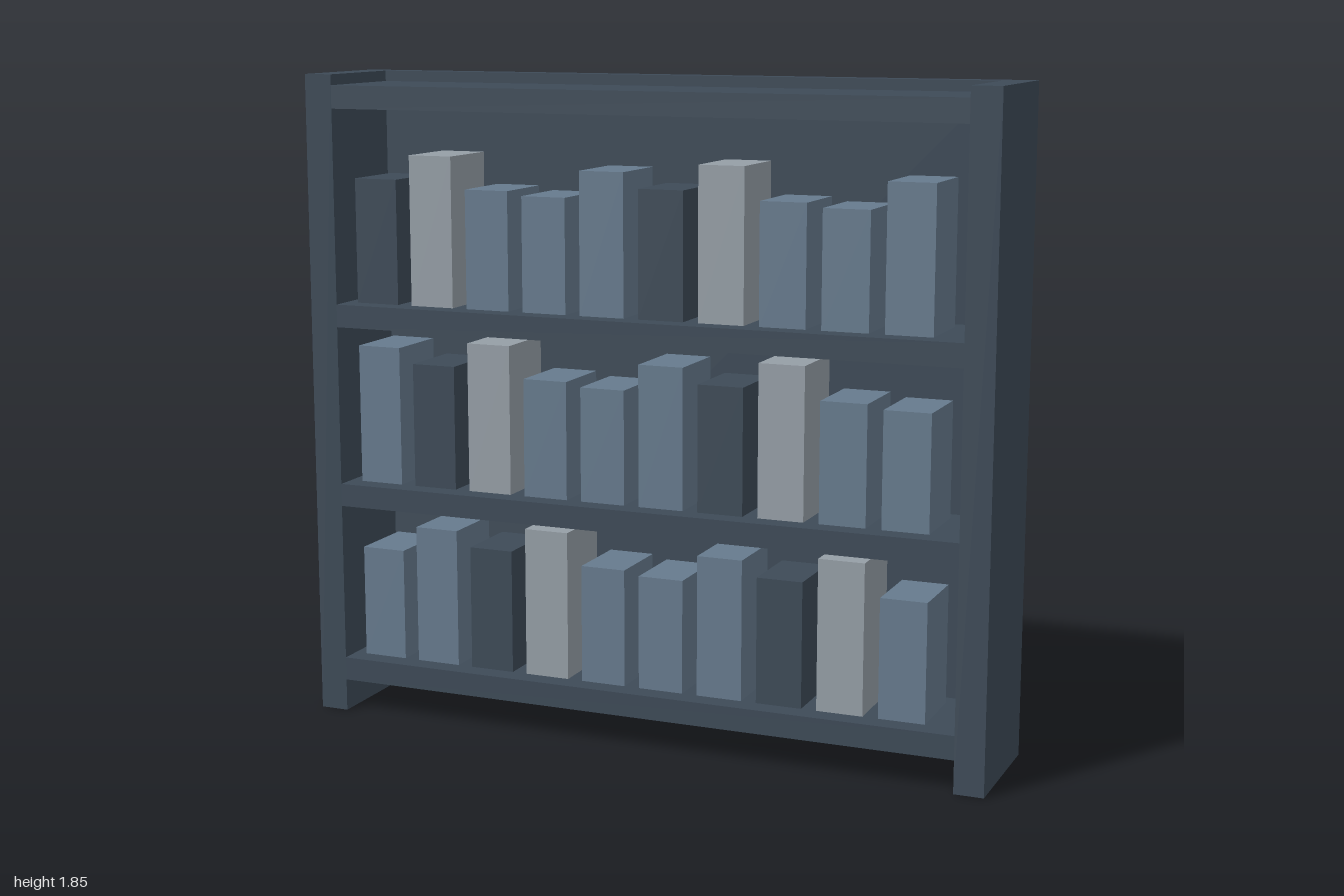
import * as THREE from 'three';

const mat = (name, color) => {
  const m = new THREE.MeshStandardMaterial({ color });
  m.name = name;
  return m;
};

export function createModel() {
  const slate = mat('dark slate', 0x3d4a57);
  const blue = mat('blue grey', 0x667a8d);
  const pale = mat('pale grey', 0x959ea6);

  const model = new THREE.Group();
  model.name = 'bookcase';

  // Box given by its lower and upper corners
  const box = (name, material, [x0, y0, z0], [x1, y1, z1], parent = model) => {
    const mesh = new THREE.Mesh(new THREE.BoxGeometry(x1 - x0, y1 - y0, z1 - z0), material);
    mesh.position.set((x0 + x1) / 2, (y0 + y1) / 2, (z0 + z1) / 2);
    mesh.name = name;
    parent.add(mesh);
  };

  const height = 1.85, front = 0.187, inner = 0.917, backFace = -0.123;

  // Frame: two sides and a back panel
  box('rightSide', slate, [-1, 0, -front], [-inner, height, front]);
  box('leftSide', slate, [inner, 0, -front], [1, height, front]);
  box('backPanel', slate, [-inner, 0, -front], [inner, height, backFace]);

  // Three shelves and the recessed top board
  const shelves = [[0.093, 0.16], [0.615, 0.68], [1.137, 1.202], [1.755, 1.82]];
  shelves.forEach(([y0, y1], i) =>
    box(i < 3 ? 'shelf' : 'topBoard', slate, [-inner, y0, backFace], [inner, y1, front]));

  // Books: a repeating run of five, shifted on each shelf
  const run = [[0.355, slate], [0.425, pale], [0.335, blue], [0.323, blue], [0.398, blue]];
  [3, 4, 0].forEach((shift, row) => {
    const books = new THREE.Group();
    books.name = 'bookRow';
    model.add(books);
    const base = shelves[row][1];
    for (let i = 0; i < 10; i++) {
      const [h, material] = run[(i + shift) % 5];
      const x = -0.882 + i * 0.1745;
      box('book', material, [x, base, -0.077], [x + 0.131, base + h, 0.127], books);
    }
  });

  return model;
}
